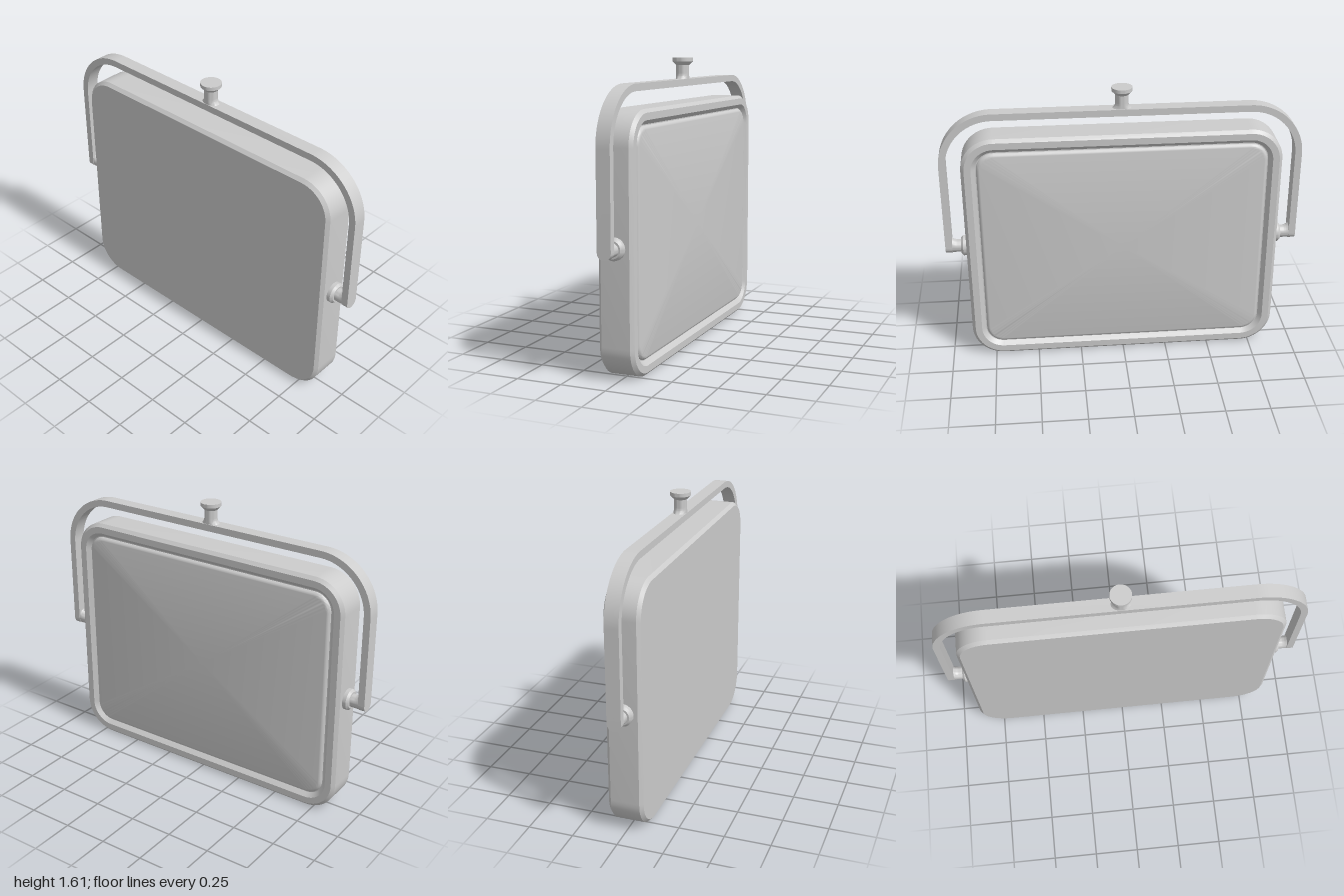
import * as THREE from 'three';
import { toCreasedNormals } from 'three/addons/utils/BufferGeometryUtils.js';

const W = 0.88, H = 0.685, R = 0.18; // half width, half height and corner radius of the case
const PIVOT_Y = 0.69, STRAP = 0.038; // pivot height, half width of the strap

const material = new THREE.MeshStandardMaterial({ color: 0xcccccc });

function mesh(name, geometry, crease = 0.5) {
  const m = new THREE.Mesh(toCreasedNormals(geometry, crease), material);
  m.name = name;
  return m;
}

// Rounded rectangle ring, pulled inwards by inset; null collapses it to the centre
function ring(inset, z, segments = 12) {
  const points = [];
  for (let c = 0; c < 4; c++) {
    const sx = c === 0 || c === 3 ? 1 : -1, sy = c < 2 ? 1 : -1;
    for (let i = 0; i <= segments; i++) {
      const a = (c + i / segments) * Math.PI / 2;
      const r = R - inset;
      points.push(inset === null ? [0, H, z] : [
        sx * (W - R) + r * Math.cos(a), H + sy * (H - R) + r * Math.sin(a), z]);
    }
  }
  return points;
}

// Skin over rings running from front to back
function loft(profile) {
  const rings = profile.map(([inset, z]) => ring(inset, z));
  const n = rings[0].length, index = [];
  for (let j = 0; j < rings.length - 1; j++) {
    for (let i = 0; i < n; i++) {
      const k = (i + 1) % n, a = j * n, b = a + n;
      if (profile[j][0] !== null) index.push(a + i, b + i, a + k);
      if (profile[j + 1][0] !== null) index.push(a + k, b + i, b + k);
    }
  }
  const g = new THREE.BufferGeometry();
  g.setAttribute('position', new THREE.Float32BufferAttribute(rings.flat(2), 3));
  g.setIndex(index);
  return g;
}

// Inverted U, straight legs and rounded shoulders
function arch(path, x, bottom, top, r) {
  path.moveTo(x, bottom);
  path.lineTo(x, top - r);
  path.absarc(x - r, top - r, r, 0, Math.PI / 2, false);
  path.lineTo(-x + r, top);
  path.absarc(-x + r, top - r, r, Math.PI / 2, Math.PI, false);
  path.lineTo(-x, bottom);
  return path;
}

// Stem whose base (at y = 0) spreads along the strap; spread factors for -x and +x
function stem(length, left, right) {
  const g = new THREE.CylinderGeometry(STRAP - 0.002, STRAP - 0.002, length, 32, 16);
  g.translate(0, length / 2, 0);
  const p = g.attributes.position;
  for (let i = 0; i < p.count; i++) {
    const t = Math.max(0, 1 - p.getY(i) / 0.03), x = p.getX(i);
    p.setX(i, x * (1 + (x < 0 ? left : right) * t * t));
  }
  return g;
}

function lathe(points) {
  return new THREE.LatheGeometry(points.map(([r, y]) => new THREE.Vector2(r, y)), 40);
}

export function createModel() {
  const model = new THREE.Group();
  model.name = 'swingHandleCase';

  // Case: flat front, chamfered edges, raised rim round a shallow back recess
  model.add(mesh('case', loft([
    [null, 0.097], [0.018, 0.097], [0, 0.079], [0, -0.079], [0.018, -0.097],
    [0.055, -0.097], [0.078, -0.074], [0.1, -0.074], [null, -0.074],
  ])));

  // Back panel with a softly rounded edge
  const panel = [];
  for (let i = 0; i <= 8; i++) {
    const a = i / 8 * Math.PI / 2;
    panel.push([0.082 + 0.025 * (1 - Math.cos(a)), -0.067 - 0.025 * Math.sin(a)]);
  }
  model.add(mesh('backPanel', loft([[0.082, -0.06], ...panel, [null, -0.092]])));

  // Handle strap
  const shape = arch(new THREE.Shape(), 1, PIVOT_Y, 1.495, 0.3);
  const inner = arch(new THREE.Path(), 0.962, PIVOT_Y, 1.457, 0.262).getPoints(20).reverse();
  inner.forEach((p) => shape.lineTo(p.x, p.y));
  const strap = new THREE.ExtrudeGeometry(shape, { depth: 2 * STRAP, bevelEnabled: false, curveSegments: 20 });
  strap.translate(0, 0, -STRAP);
  model.add(mesh('handleStrap', strap));

  for (const side of [1, -1]) {
    const pivot = new THREE.Group();
    pivot.name = side > 0 ? 'leftPivot' : 'rightPivot';

    // Rounded strap end
    const end = new THREE.CylinderGeometry(STRAP, STRAP, 0.038, 32);
    end.rotateZ(Math.PI / 2).translate(side * 0.981, PIVOT_Y, 0);
    pivot.add(mesh('strapEnd', end));

    // Stem from the strap towards the case, spreading up the strap
    const axle = stem(0.09, side > 0 ? 0 : 0.45, side > 0 ? 0.45 : 0);
    axle.rotateZ(side * Math.PI / 2).translate(side * 0.963, PIVOT_Y, 0);
    pivot.add(mesh('axle', axle));

    // Stepped collar on the case
    const collar = lathe([[0, 0], [0.058, 0], [0.058, 0.025], [0.046, 0.037], [0, 0.037]]);
    collar.rotateZ(-side * Math.PI / 2).translate(side * 0.875, PIVOT_Y, 0);
    pivot.add(mesh('collar', collar));
    model.add(pivot);
  }

  // Top knob on the strap
  const knob = new THREE.Group();
  knob.name = 'topKnob';
  knob.position.y = 1.493;
  knob.add(mesh('knobStem', stem(0.09, 0.5, 0.5)));
  knob.add(mesh('knobCap', lathe([[0, 0.078], [0.036, 0.078], [0.057, 0.099], [0.057, 0.119], [0, 0.119]])));
  model.add(knob);

  return model;
}
